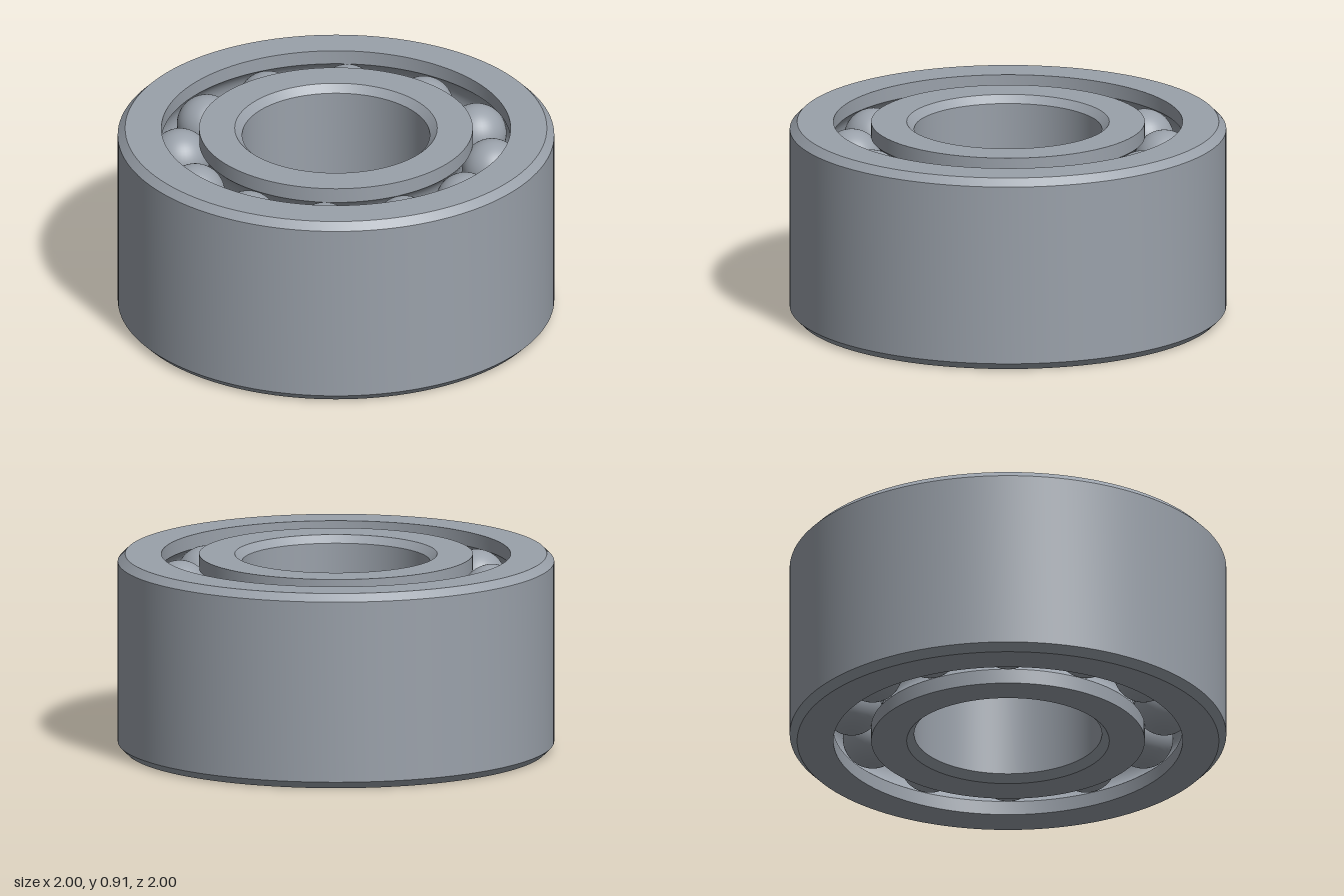
import * as THREE from 'three';
import { toCreasedNormals } from 'three/addons/utils/BufferGeometryUtils.js';

const HEIGHT = 0.908;
const CHAMFER = 0.034;
const PITCH = 0.716; // radius of the circle through the ball centres
const BALL = 0.137;
const GROOVE = 0.14;
const ROWS = [0.178, HEIGHT - 0.178];
const BALLS_PER_ROW = 12;

// Raceway arc around a ball centre, between angles a and b
function groove(y, a, b, steps = 14) {
  return Array.from({ length: steps + 1 }, (_, i) => {
    const t = a + ((b - a) * i) / steps;
    return [PITCH + GROOVE * Math.cos(t), y + GROOVE * Math.sin(t)];
  });
}

// Closed ring turned from a counter-clockwise [radius, height] profile
function ring(name, profile, material) {
  const points = [...profile, profile[0]].map(([r, y]) => new THREE.Vector2(r, y));
  const geometry = toCreasedNormals(new THREE.LatheGeometry(points, 128), 0.4);
  const mesh = new THREE.Mesh(geometry, material);
  mesh.name = name;
  return mesh;
}

export function createModel() {
  const model = new THREE.Group();
  model.name = 'doubleRowBallBearing';
  const steel = new THREE.MeshStandardMaterial({ color: 0x9aa1aa });
  steel.name = 'steel';

  // Outer ring: chamfered outside, two raceways inside
  const outerR = 1, shoulderOut = 0.8;
  const a = Math.acos((shoulderOut - PITCH) / GROOVE);
  model.add(ring('outerRing', [
    [shoulderOut, 0], [outerR - CHAMFER, 0], [outerR, CHAMFER],
    [outerR, HEIGHT - CHAMFER], [outerR - CHAMFER, HEIGHT], [shoulderOut, HEIGHT],
    ...groove(ROWS[1], a, -a), ...groove(ROWS[0], a, -a),
  ], steel));

  // Inner ring: chamfered bore, two raceways outside
  const boreR = 0.43, shoulderIn = 0.627;
  const b = Math.acos((PITCH - shoulderIn) / GROOVE);
  model.add(ring('innerRing', [
    [boreR + CHAMFER, 0], [shoulderIn, 0],
    ...groove(ROWS[0], Math.PI + b, Math.PI - b), ...groove(ROWS[1], Math.PI + b, Math.PI - b),
    [shoulderIn, HEIGHT], [boreR + CHAMFER, HEIGHT],
    [boreR, HEIGHT - CHAMFER], [boreR, CHAMFER],
  ], steel));

  // Two aligned rows of balls
  const ballGeometry = new THREE.SphereGeometry(BALL, 40, 28);
  ROWS.forEach((y, row) => {
    const group = new THREE.Group();
    group.name = row ? 'upperBallRow' : 'lowerBallRow';
    for (let i = 0; i < BALLS_PER_ROW; i++) {
      const t = THREE.MathUtils.degToRad(11.65) + (i * 2 * Math.PI) / BALLS_PER_ROW;
      const ball = new THREE.Mesh(ballGeometry, steel);
      ball.name = 'ball';
      ball.position.set(PITCH * Math.cos(t), y, PITCH * Math.sin(t));
      group.add(ball);
    }
    model.add(group);
  });

  return model;
}
